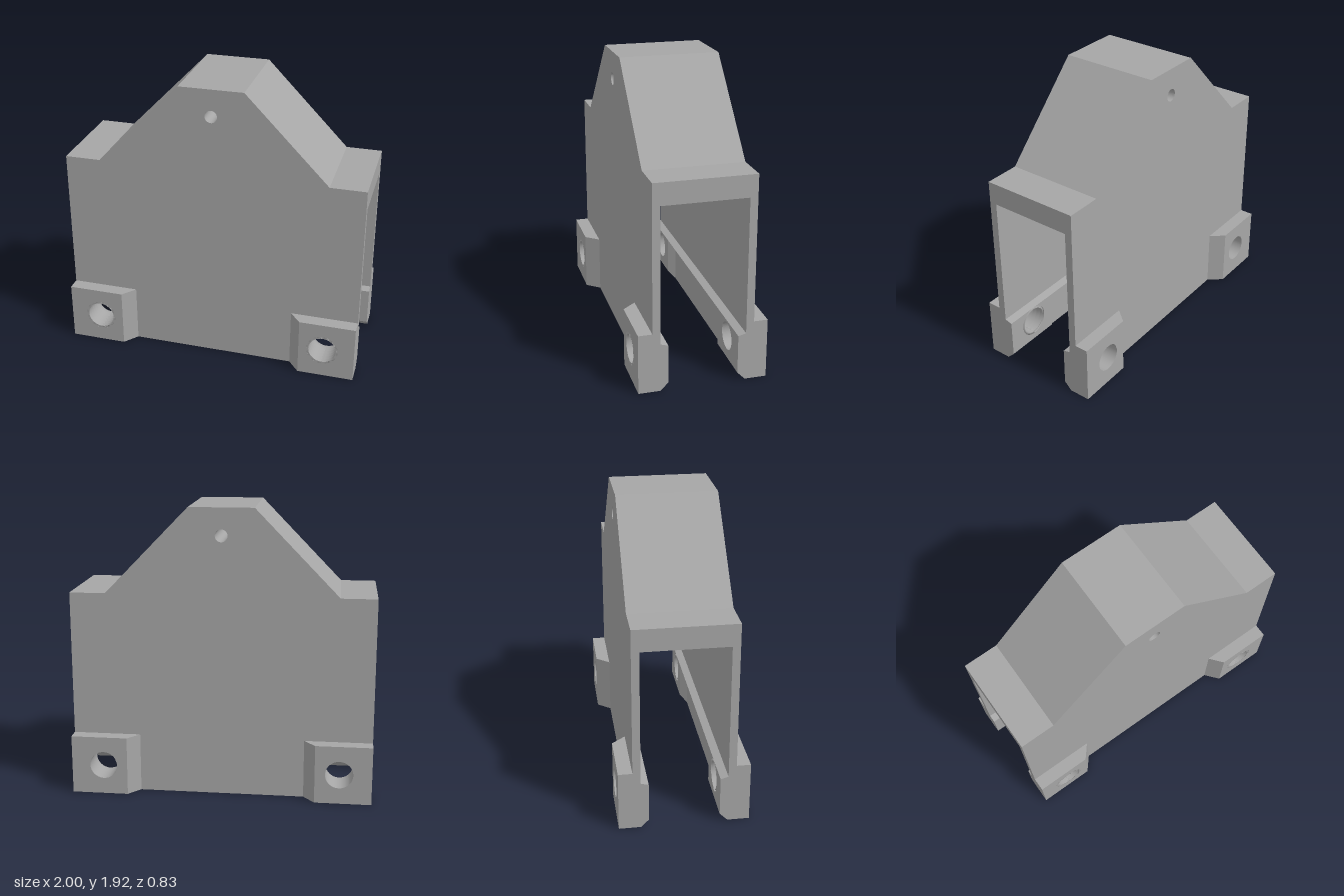
import * as THREE from 'three';

const HOLE_X = 0.785, HOLE_Y = 0.2;
const INNER = 0.225, WALL_IN = 0.275, WALL_OUT = 0.325, BOSS_OUT = 0.415;

function circle(x, y, r) {
  const p = new THREE.Path();
  p.absarc(x, y, r, 0, Math.PI * 2, true);
  return p;
}

// Plate in the x-y plane, with round holes, between two z values
function plate(points, holes, z0, z1) {
  const shape = new THREE.Shape(points.map(p => new THREE.Vector2(p[0], p[1])));
  holes.forEach(h => shape.holes.push(circle(...h)));
  const g = new THREE.ExtrudeGeometry(shape, { depth: z1 - z0, bevelEnabled: false, curveSegments: 40 });
  g.translate(0, 0, z0);
  return g;
}

// Drilled corner block whose edges are moved in on the face at zFace
function cornerBlock(sx, r, z0, z1, zFace, near, nearFace, top, topFace, bottomFace) {
  const g = plate([[sx, 0], [sx, top], [sx * near, top], [sx * near, 0]], [[sx * HOLE_X, HOLE_Y, r]], z0, z1);
  const p = g.attributes.position, same = (a, b) => Math.abs(a - b) < 1e-4;
  for (let i = 0; i < p.count; i++) {
    if (!same(p.getZ(i), zFace)) continue;
    if (same(p.getX(i), sx * near)) p.setX(i, sx * nearFace);
    if (same(p.getY(i), top)) p.setY(i, topFace);
    else if (same(p.getY(i), 0)) p.setY(i, bottomFace);
  }
  g.computeVertexNormals();
  return g;
}

// Helical thread lining a hole
function thread(length, rMin, rMax, turns) {
  const pitch = length / turns, pts = [];
  for (let i = -2; i <= turns * 2 + 2; i++) {
    pts.push(new THREE.Vector2(i % 2 ? rMax : rMin, i * pitch / 2));
  }
  const g = new THREE.LatheGeometry(pts.reverse(), 40);
  const p = g.attributes.position, uv = g.attributes.uv;
  for (let i = 0; i < p.count; i++) {
    p.setY(i, THREE.MathUtils.clamp(p.getY(i) + uv.getX(i) * pitch, 0, length));
  }
  g.rotateX(Math.PI / 2);
  g.computeVertexNormals();
  return g;
}

export function createModel() {
  const model = new THREE.Group();
  model.name = 'clampHousing';
  const grey = new THREE.MeshStandardMaterial({ color: 0xa6a6a6, side: THREE.DoubleSide });
  grey.name = 'grey';
  const add = (parent, name, geometry) => {
    const m = new THREE.Mesh(geometry, grey);
    m.name = name;
    parent.add(m);
    return m;
  };

  // Solid crown with a small cross hole
  add(model, 'crown', plate([
    [-1, 1.213], [1, 1.213], [1, 1.357], [0.763, 1.357], [0.213, 1.923],
    [-0.213, 1.923], [-0.763, 1.357], [-1, 1.357],
  ], [[0, 1.743, 0.041]], -WALL_OUT, WALL_OUT));

  // Two mirrored sides: the front is threaded, the back has plain holes
  for (const front of [true, false]) {
    const side = new THREE.Group();
    side.name = front ? 'frontSide' : 'backSide';
    if (!front) side.rotation.y = Math.PI;
    model.add(side);
    const r = front ? 0.106 : 0.092;

    add(side, 'wall', plate([[-1, 0], [1, 0], [1, 1.213], [-1, 1.213]],
      [[-HOLE_X, HOLE_Y, r], [HOLE_X, HOLE_Y, r]], WALL_IN, WALL_OUT));

    for (const sx of [-1, 1]) {
      add(side, 'outerBoss',
        cornerBlock(sx, r, WALL_OUT, BOSS_OUT, BOSS_OUT, 0.55, 0.625, 0.395, 0.395, 0));
      add(side, 'innerPad',
        cornerBlock(sx, r, INNER, WALL_IN, INNER, 0.565, 0.605, 0.32, 0.306, 0.05));
      if (front) {
        const t = add(side, 'thread', thread(BOSS_OUT - INNER, 0.092, 0.106, 6));
        t.position.set(sx * HOLE_X, HOLE_Y, INNER);
      }
    }

    // Thin lip above the recess between the pads
    const lip = new THREE.Shape([
      new THREE.Vector2(WALL_IN, 0.32), new THREE.Vector2(INNER, 0.306), new THREE.Vector2(WALL_IN, 0.3),
    ]);
    const g = new THREE.ExtrudeGeometry(lip, { depth: 1.21, bevelEnabled: false });
    g.translate(0, 0, -0.605);
    g.rotateY(-Math.PI / 2);
    add(side, 'recessLip', g);
  }
  return model;
}
